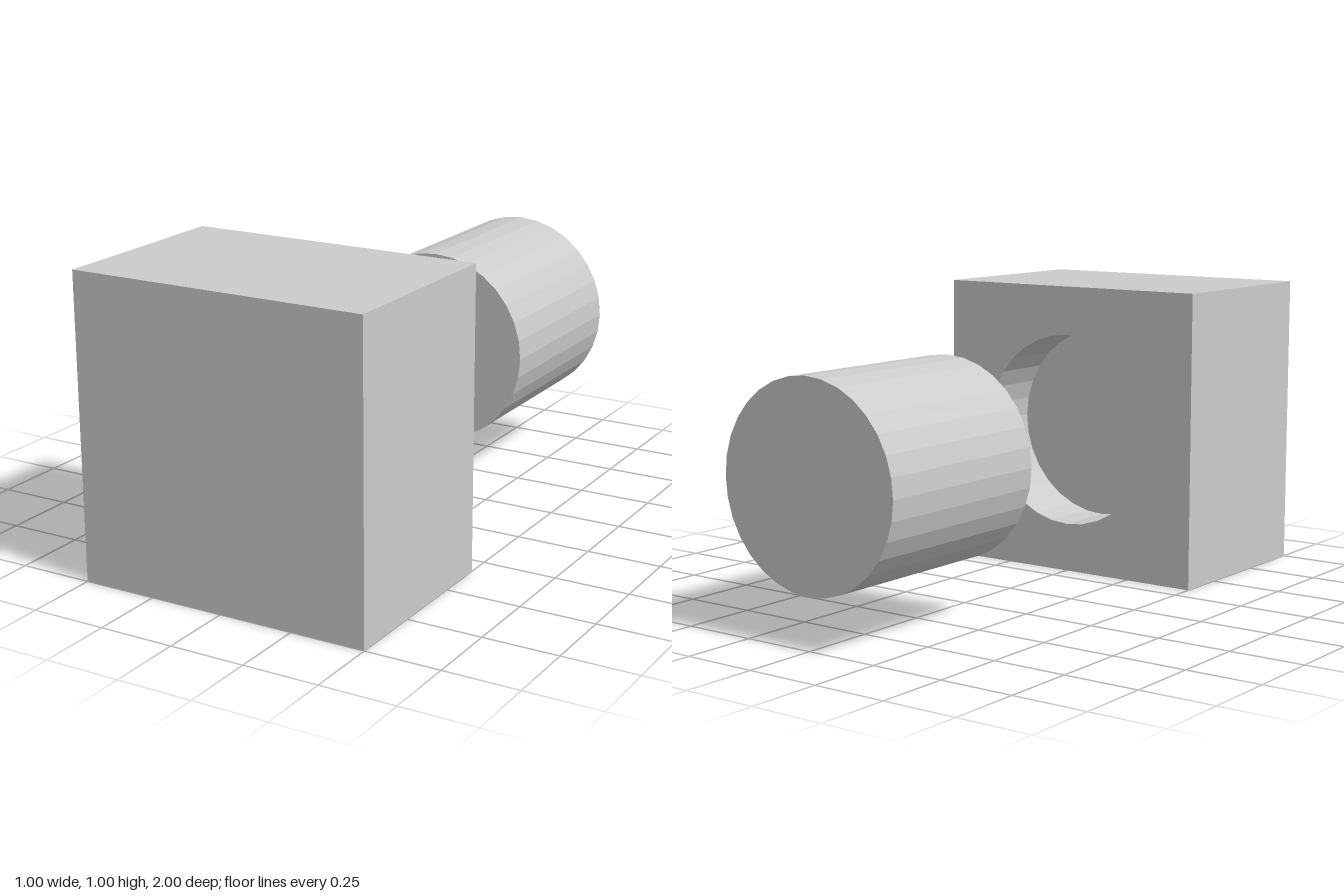
import * as THREE from 'three';

const SIDES = 32, DEPTH = 2 / 3, HOLE_R = 0.333, HOLE_DEPTH = 0.22, BACK_Z = 1 - DEPTH;

const grey = new THREE.MeshStandardMaterial({ color: 0xcccccc, flatShading: true });
const greyThin = new THREE.MeshStandardMaterial({ color: 0xcccccc, flatShading: true, side: THREE.DoubleSide });

function addPart(parent, name, geometry, material, y, z) {
  const mesh = new THREE.Mesh(geometry, material);
  mesh.name = name;
  mesh.position.set(0, y, z);
  parent.add(mesh);
}

export function createModel() {
  const model = new THREE.Group();
  model.name = 'pegAndSocket';

  // Socket block: a box whose back face carries a blind round hole
  const block = new THREE.Group();
  block.name = 'socketBlock';
  model.add(block);

  // Box without its back (-z) face, which is the last one in the index
  const shell = new THREE.BoxGeometry(1, 1, DEPTH);
  shell.setIndex(Array.from(shell.index.array).slice(0, 30));
  shell.clearGroups();
  addPart(block, 'blockShell', shell, grey, 0.5, 1 - DEPTH / 2);

  // Back face with the hole cut out
  const square = new THREE.Shape([[-0.5, -0.5], [0.5, -0.5], [0.5, 0.5], [-0.5, 0.5]]
    .map(([x, y]) => new THREE.Vector2(x, y)));
  square.holes.push(new THREE.Path().absarc(0, 0, HOLE_R, 0, Math.PI * 2, true));
  const back = new THREE.ShapeGeometry(square, SIDES / 2).rotateY(Math.PI);
  addPart(block, 'blockBack', back, grey, 0.5, BACK_Z);

  // Hole wall and floor
  const wall = new THREE.CylinderGeometry(HOLE_R, HOLE_R, HOLE_DEPTH, SIDES, 1, true).rotateX(Math.PI / 2);
  addPart(block, 'holeWall', wall, greyThin, 0.5, BACK_Z + HOLE_DEPTH / 2);
  const floor = new THREE.CircleGeometry(HOLE_R, SIDES).rotateY(Math.PI);
  addPart(block, 'holeFloor', floor, grey, 0.5, BACK_Z + HOLE_DEPTH);

  // Loose peg behind the block, in line with the hole
  const peg = new THREE.CylinderGeometry(0.331, 0.331, DEPTH, SIDES).rotateX(Math.PI / 2);
  addPart(model, 'peg', peg, grey, 0.496, -1 + DEPTH / 2);

  return model;
}
